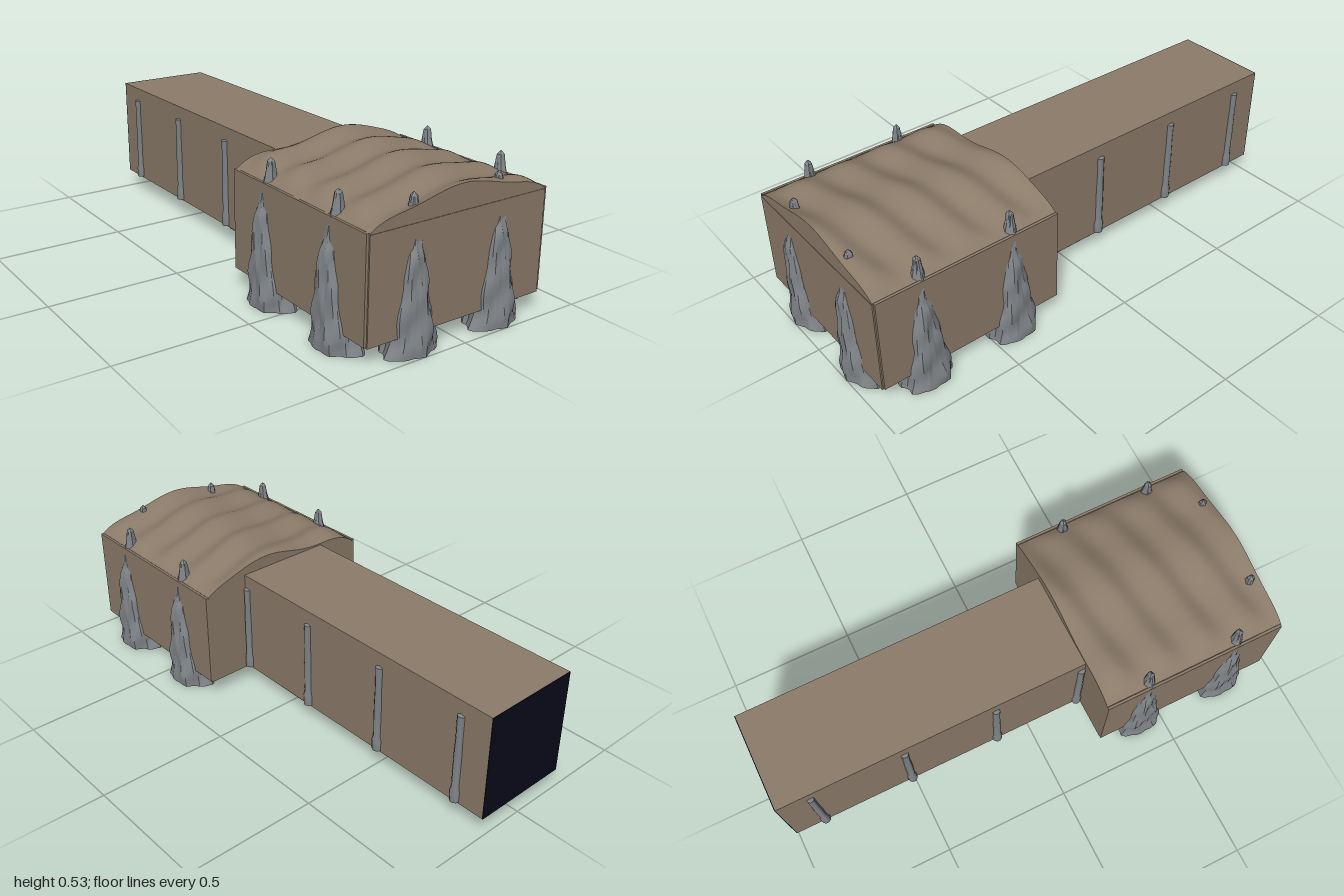
import * as THREE from 'three';
import { toCreasedNormals } from 'three/addons/utils/BufferGeometryUtils.js';

const CX = -0.004; // centre line of the chamber and tunnel

export function createModel() {
  const model = new THREE.Group();
  model.name = 'caveChamber';
  const mat = (name, color) => {
    const m = new THREE.MeshStandardMaterial({ color });
    m.name = name;
    return m;
  };
  const earth = mat('brownEarth', 0x8b7b69);
  const rock = mat('greyRock', 0x7f8488);
  const dark = mat('darkOpening', 0x0a0a1a);

  const add = (name, geo, material, x = 0, y = 0, z = 0) => {
    const m = new THREE.Mesh(geo, material);
    m.name = name;
    m.position.set(x, y, z);
    model.add(m);
    return m;
  };
  // Box given by its extents
  const box = (name, material, x0, x1, y0, y1, z0, z1) =>
    add(name, new THREE.BoxGeometry(x1 - x0, y1 - y0, z1 - z0), material,
      (x0 + x1) / 2, (y0 + y1) / 2, (z0 + z1) / 2);

  // Chamber and tunnel
  box('chamber', earth, -0.37, 0.362, 0.07, 0.44, 0.222, 0.96);
  for (const s of [-1, 1]) {
    const x = CX + s * 0.371;
    box('chamberSideWall', earth, x - 0.005, x + 0.005, 0.075, 0.445, 0.222, 0.955);
  }
  box('tunnel', earth, -0.196, 0.188, 0.075, 0.48, -0.997, 0.24);
  box('tunnelOpening', dark, -0.196, 0.188, 0.075, 0.48, -1, -0.997);

  // Rippled roof: the top of a box raised into a dome with waves
  const roof = new THREE.BoxGeometry(0.728, 0.02, 0.736, 64, 1, 64);
  const p = roof.attributes.position;
  for (let i = 0; i < p.count; i++) {
    if (p.getY(i) < 0) continue;
    const x = p.getX(i), z = p.getZ(i);
    const u = Math.min(1, Math.abs(x) / 0.364);
    const waves = 0.012 * Math.cos(15 * x + 1.5 * (z - 0.368))
      + 0.011 * Math.cos((2 * Math.PI * (z - 0.368 + 0.17 * x)) / 0.175);
    p.setY(i, 0.012 + 0.063 * (1 - u ** 4) + waves * (1 - u ** 6));
  }
  roof.computeVertexNormals();
  add('rippledRoof', roof, earth, CX, 0.432, 0.59);

  // Floor plates under the chamber and the tunnel mouth
  box('chamberFloor', rock, -0.365, 0.357, 0.066, 0.0705, 0.23, 0.95);
  box('tunnelMouthFloor', rock, -0.19, 0.182, 0.068, 0.0755, -0.13, 0.23);
  const patch = (x, z, rx, rz, seed) => {
    const pts = [];
    for (let i = 0; i < 40; i++) {
      const a = (i / 40) * Math.PI * 2;
      const r = 1 + 0.16 * Math.sin(3 * a + seed) + 0.12 * Math.sin(5 * a + 2 * seed);
      pts.push(new THREE.Vector2(rx * r * Math.cos(a), rz * r * Math.sin(a)));
    }
    const geo = new THREE.ShapeGeometry(new THREE.Shape(pts));
    geo.rotateX(Math.PI / 2);
    add('earthFloorPatch', geo, earth, x, 0.0645, z);
  };
  patch(-0.02, 0.57, 0.2, 0.18, 0.6);
  patch(0.24, 0.78, 0.08, 0.11, 2.1);
  patch(-0.2, 0.82, 0.1, 0.07, 3.7);
  patch(-0.27, 0.4, 0.06, 0.1, 5.2);

  // Buttress rocks, each half sunk into a wall and ending in a spike above it
  const front = rockGeometry(0.4);
  const side = rockGeometry(2.3);
  add('frontRock', front, rock, -0.177, 0, 0.958);
  add('frontRock', front, rock, 0.178, 0, 0.958);
  for (const s of [-1, 1]) {
    for (const z of [0.405, 0.775]) {
      add('sideRock', side, rock, CX + s * 0.376, 0, z).rotation.y = (s * Math.PI) / 2;
    }
  }

  // Slim rock columns along the tunnel walls
  const column = new THREE.LatheGeometry([
    [0, 0], [0.019, 0], [0.02, 0.04], [0.015, 0.06], [0.016, 0.18],
    [0.014, 0.26], [0.015, 0.345], [0, 0.35],
  ].map(([r, y]) => new THREE.Vector2(r, y)), 10);
  const columnGeo = toCreasedNormals(column, 0.7);
  for (const s of [-1, 1]) {
    for (const z of [0.208, -0.143, -0.51, -0.877]) {
      add('tunnelColumn', columnGeo, rock, CX + s * 0.191, 0.08, z);
    }
  }
  return model;
}

// Craggy spire lofted from elliptical sections; local +z points out of the wall
function rockGeometry(seed) {
  // height, sideways centre, half width, outward reach, half depth
  const rows = [
    [0, 0, 0.102, 0.039, 0.076], [0.05, 0.003, 0.092, 0.037, 0.07],
    [0.12, -0.003, 0.08, 0.033, 0.064], [0.2, -0.008, 0.066, 0.028, 0.056],
    [0.27, -0.01, 0.055, 0.023, 0.05], [0.33, -0.012, 0.042, 0.018, 0.042],
    [0.36, -0.01, 0.032, 0.007, 0.032], [0.44, -0.002, 0.025, -0.006, 0.024],
    [0.48, 0, 0.016, -0.014, 0.018], [0.515, 0, 0.011, -0.02, 0.013],
    [0.528, 0, 0.001, -0.032, 0.001],
  ];
  const sides = 30, steps = 3;
  const levels = [];
  rows.forEach((row, k) => {
    const next = rows[k + 1];
    if (!next) return levels.push(row);
    for (let t = 0; t < steps; t++) {
      levels.push(row.map((v, c) => v + ((next[c] - v) * t) / steps));
    }
  });
  const pos = [], idx = [];
  for (const [y, cu, hu, out, hv] of levels) {
    for (let j = 0; j < sides; j++) {
      const a = (j / sides) * Math.PI * 2;
      const r = 1 + 0.06 * Math.sin(5 * a + seed + 9 * y)
        + 0.05 * Math.sin(9 * a + 2 * seed - 24 * y)
        + 0.05 * Math.sin(3 * a + 45 * y + seed);
      pos.push(cu + hu * r * Math.cos(a), y, out - hv + hv * r * Math.sin(a));
    }
  }
  const at = (i, j) => i * sides + (j % sides);
  for (let i = 0; i < levels.length - 1; i++) {
    for (let j = 0; j < sides; j++) {
      const a = at(i, j), b = at(i, j + 1), c = at(i + 1, j), d = at(i + 1, j + 1);
      idx.push(a, c, b, b, c, d);
    }
  }
  // Flat base
  const centre = pos.length / 3;
  pos.push(0, 0, -0.037);
  for (let j = 0; j < sides; j++) idx.push(centre, at(0, j), at(0, j + 1));
  const geo = new THREE.BufferGeometry();
  geo.setAttribute('position', new THREE.Float32BufferAttribute(pos, 3));
  geo.setIndex(idx);
  return toCreasedNormals(geo, 0.45);
}
